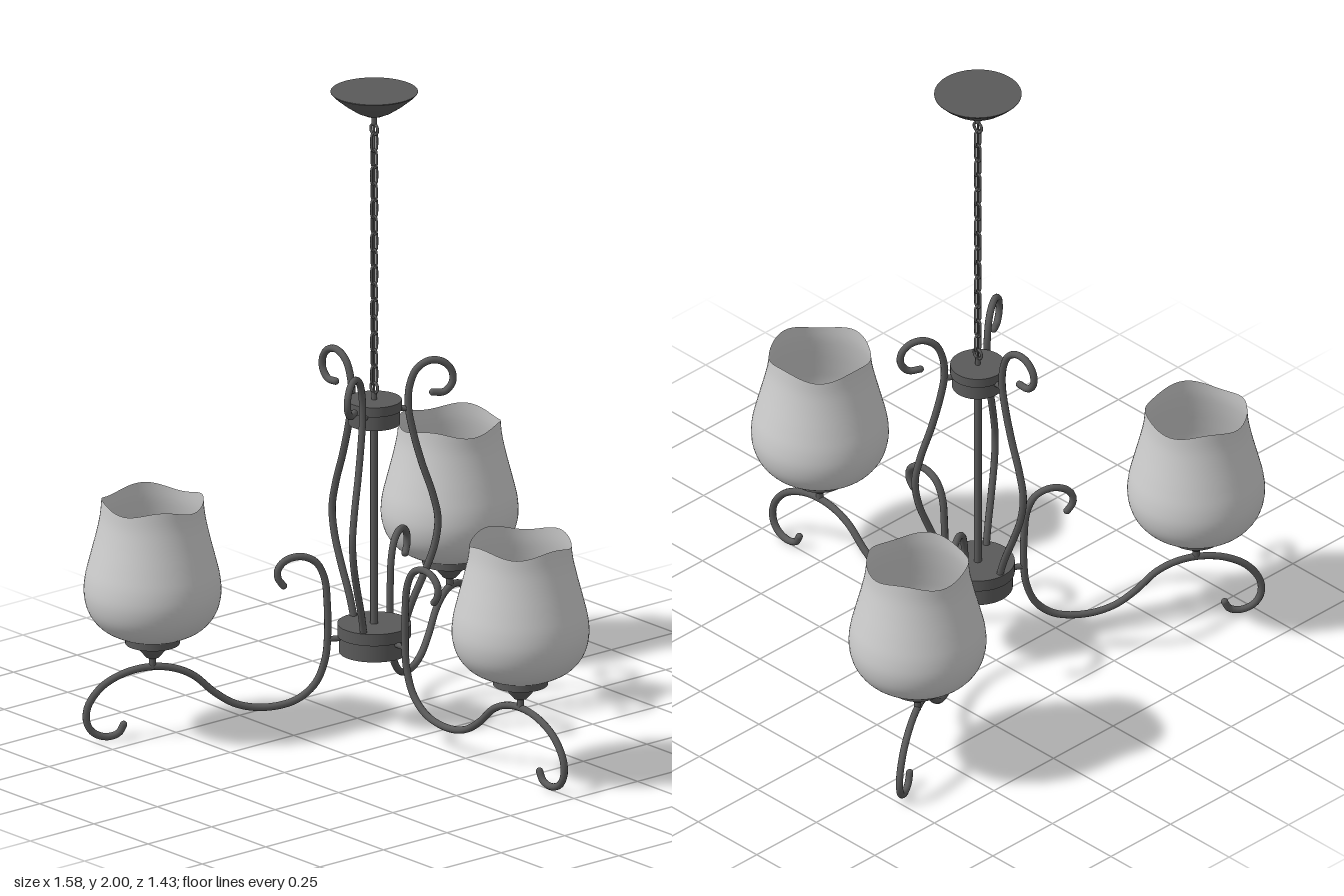
import * as THREE from 'three';

const metal = new THREE.MeshStandardMaterial({ color: 0x5a5a5a });
metal.name = 'dark metal';
const glass = new THREE.MeshStandardMaterial({ color: 0xcccccc, side: THREE.DoubleSide });
glass.name = 'frosted glass';

function mesh(name, geometry, material = metal) {
  const m = new THREE.Mesh(geometry, material);
  m.name = name;
  return m;
}

// Turned part from [radius, y] pairs, listed from the bottom up
const smoothLathe = (pts, segs = 48) =>
  new THREE.LatheGeometry(pts.map(([r, y]) => new THREE.Vector2(r, y)), segs);

// Turned part with sharp edges between its bands
function turned(name, pts, segs = 40) {
  const g = new THREE.Group();
  g.name = name;
  for (let i = 0; i + 1 < pts.length; i++) g.add(mesh(name + 'Band', smoothLathe([pts[i], pts[i + 1]], segs)));
  return g;
}

// Bent rod in the radial plane from [radius, y] pairs, with rounded tips
function scroll(name, pts, radius) {
  const g = new THREE.Group();
  g.name = name;
  const path = pts.map(([r, y]) => new THREE.Vector3(0, y, r));
  const curve = new THREE.CatmullRomCurve3(path, false, 'centripetal');
  g.add(mesh(name + 'Rod', new THREE.TubeGeometry(curve, 120, radius, 10)));
  for (const p of [path[0], path[path.length - 1]]) {
    const tip = mesh(name + 'Tip', new THREE.SphereGeometry(radius, 10, 8));
    tip.position.copy(p);
    g.add(tip);
  }
  return g;
}

// Short pin pointing outward from a hub
function pin(name, r0, r1, y) {
  const m = mesh(name, new THREE.CylinderGeometry(0.009, 0.009, r1 - r0, 10));
  m.rotation.x = Math.PI / 2;
  m.position.set(0, y, (r0 + r1) / 2);
  return m;
}

// Tulip shade with a gently waved rim
function shadeGeometry() {
  const profile = new THREE.SplineCurve([
    [0.078, 0.322], [0.115, 0.333], [0.16, 0.36], [0.192, 0.402], [0.206, 0.455], [0.203, 0.51],
    [0.189, 0.57], [0.171, 0.64], [0.158, 0.7], [0.153, 0.748],
  ].map(([r, y]) => new THREE.Vector2(r, y)));
  const g = new THREE.LatheGeometry(profile.getPoints(36), 64);
  const p = g.attributes.position;
  for (let i = 0; i < p.count; i++) {
    const t = Math.max(0, (p.getY(i) - 0.6) / 0.15);
    const a = Math.atan2(p.getX(i), p.getZ(i));
    p.setY(i, p.getY(i) + 0.01 * t * t * Math.cos(4 * a));
  }
  return g;
}

// Oval chain link lying in the xy plane
function linkGeometry() {
  const pts = [];
  for (let i = 0; i < 20; i++) {
    const a = (i / 20) * Math.PI * 2;
    pts.push(new THREE.Vector3(0.0105 * Math.cos(a), 0.011 * Math.sin(a) + (Math.sin(a) >= 0 ? 0.018 : -0.018), 0));
  }
  return new THREE.TubeGeometry(new THREE.CatmullRomCurve3(pts, true), 40, 0.004, 6, true);
}

function lampArm() {
  const arm = new THREE.Group();
  arm.name = 'lampArm';
  arm.add(scroll('arm', [
    [0.276, 0.456], [0.292, 0.478], [0.293, 0.508], [0.268, 0.536], [0.222, 0.545], [0.178, 0.525],
    [0.152, 0.475], [0.143, 0.39], [0.142, 0.29], [0.15, 0.215], [0.18, 0.142], [0.24, 0.093],
    [0.335, 0.076], [0.42, 0.092], [0.485, 0.132], [0.55, 0.19], [0.61, 0.217], [0.68, 0.225],
    [0.76, 0.21], [0.83, 0.17], [0.872, 0.11], [0.875, 0.06], [0.855, 0.027], [0.815, 0.012],
    [0.778, 0.022], [0.763, 0.048],
  ], 0.011));
  arm.add(pin('armPin', 0.09, 0.145, 0.28));

  // Lamp: cup, socket and shade
  const lamp = new THREE.Group();
  lamp.name = 'lamp';
  lamp.position.z = 0.675;
  lamp.add(turned('cup', [
    [0.011, 0.22], [0.011, 0.256], [0.02, 0.256], [0.036, 0.275], [0.052, 0.3], [0.082, 0.3], [0.082, 0.324], [0, 0.324],
  ]));
  lamp.add(turned('socket', [
    [0.055, 0.322], [0.055, 0.385], [0.036, 0.385], [0.036, 0.34], [0, 0.34],
  ], 32));
  lamp.add(mesh('shade', shadeGeometry(), glass));
  arm.add(lamp);
  return arm;
}

function upperScroll() {
  const g = new THREE.Group();
  g.name = 'upperScroll';
  g.add(scroll('strand', [
    [0.178, 1.04], [0.214, 1.04], [0.238, 1.068], [0.236, 1.105], [0.21, 1.134], [0.17, 1.141],
    [0.13, 1.117], [0.108, 1.065], [0.104, 1.0], [0.118, 0.92], [0.145, 0.82], [0.178, 0.72],
    [0.194, 0.64], [0.184, 0.56], [0.152, 0.47], [0.118, 0.39], [0.098, 0.33], [0.09, 0.29],
  ], 0.011));
  g.add(pin('strandPin', 0.07, 0.105, 0.995));
  return g;
}

export function createModel() {
  const model = new THREE.Group();
  model.name = 'chandelier';
  const body = new THREE.Group();
  body.name = 'body';
  body.position.z = -0.172;
  model.add(body);

  // Ceiling canopy
  body.add(mesh('canopyBowl', smoothLathe([
    [0, 1.92], [0.025, 1.924], [0.055, 1.938], [0.09, 1.962], [0.118, 1.985], [0.131, 1.998]])));
  body.add(turned('canopyTop', [[0.131, 1.998], [0.131, 2], [0, 2]], 48));

  // Central rod with its hubs and finial
  const rod = mesh('centralRod', new THREE.CylinderGeometry(0.012, 0.012, 0.8, 16));
  rod.position.y = 0.62;
  body.add(rod);
  body.add(turned('upperHub', [[0, 0.953], [0.078, 0.953], [0.078, 0.998], [0.083, 0.998], [0.083, 1.028], [0, 1.028]]));
  body.add(turned('lowerHub', [[0, 0.232], [0.105, 0.232], [0.105, 0.285], [0.111, 0.285], [0.111, 0.322], [0, 0.322]]));
  const finial = mesh('finial', new THREE.SphereGeometry(0.015, 16, 12));
  finial.position.y = 0.217;
  body.add(finial);

  // Chain with end rings and an inner cord
  const link = linkGeometry();
  for (let i = 0; i < 15; i++) {
    const m = mesh('chainLink', link);
    m.position.y = 1.84 - i * 0.0525;
    m.rotation.y = i % 2 ? Math.PI / 2 : 0;
    body.add(m);
  }
  for (const y of [1.065, 1.88]) {
    const ring = mesh('chainRing', new THREE.TorusGeometry(0.016, 0.0045, 8, 24));
    ring.rotation.y = Math.PI / 2;
    ring.position.y = y;
    body.add(ring);
  }
  const cord = mesh('cord', new THREE.CylinderGeometry(0.003, 0.003, 0.92, 6));
  cord.position.y = 1.475;
  body.add(cord);
  for (const y of [1.037, 1.91]) {
    const stub = mesh('ringStub', new THREE.CylinderGeometry(0.008, 0.008, 0.03, 10));
    stub.position.y = y;
    body.add(stub);
  }

  // Three lamp arms with upper scrolls between them
  for (let i = 0; i < 3; i++) {
    const a = (i * Math.PI * 2) / 3;
    const arm = lampArm();
    arm.rotation.y = a;
    const upper = upperScroll();
    upper.rotation.y = a + Math.PI;
    body.add(arm, upper);
  }
  return model;
}
